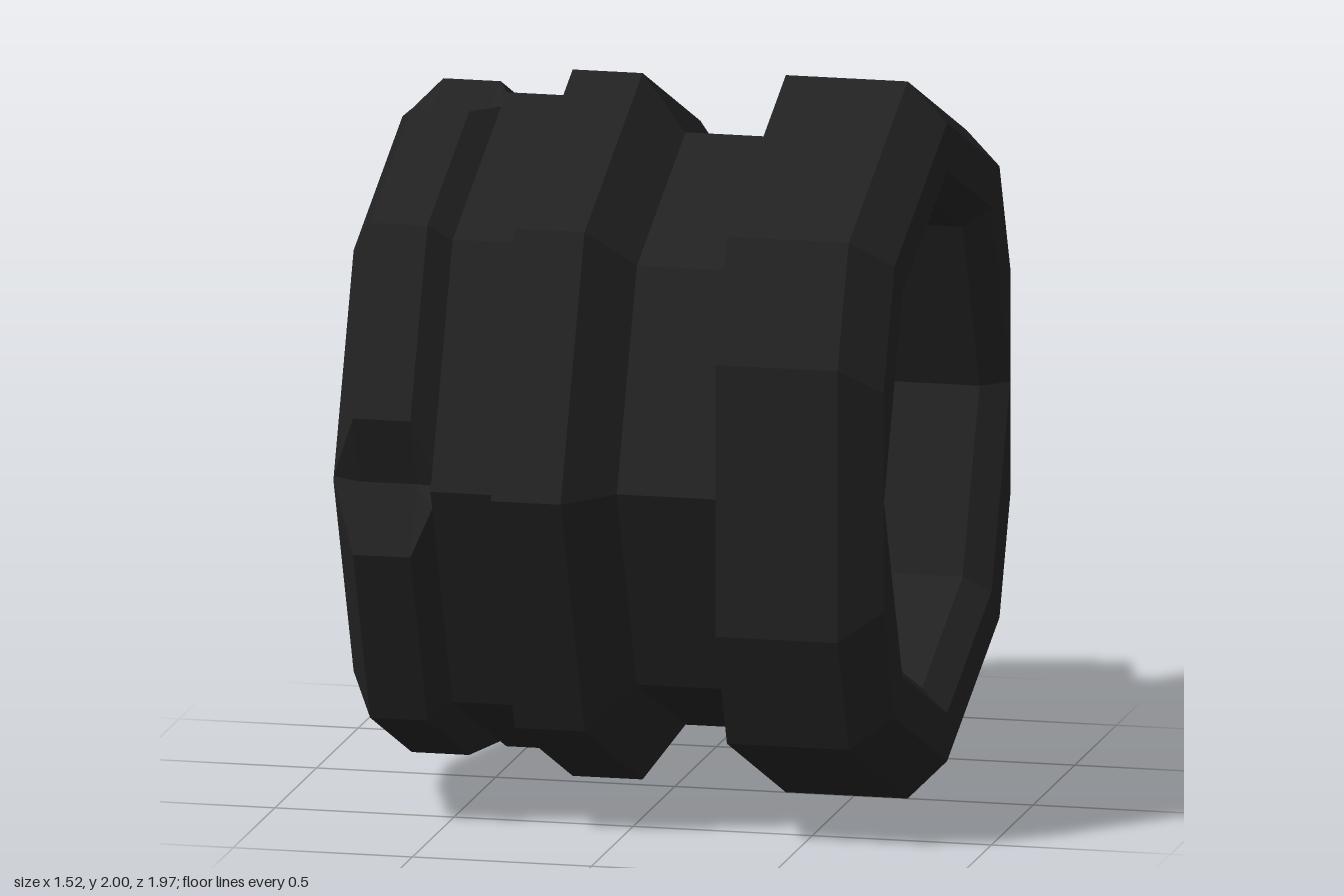
import * as THREE from 'three';

const SLOPE = Math.SQRT2 - 1; // fall of an octagon side away from its corner

// Octagonal cross-section across x. Each of the four axis corners is made of three points,
// so that it can be plain, cut by a V notch, or shaved flat.
function section(x, r, { notch, flat } = {}) {
  const pts = [];
  for (let q = 0; q < 4; q++) {
    let w = 0.1, floor = r;
    if (notch) [w, floor] = notch;
    let h = r - SLOPE * w;
    if (flat && q % 2 === 1) {
      w = (r - flat) / SLOPE;
      h = floor = flat;
    }
    const c = Math.cos(q * Math.PI / 2), s = Math.sin(q * Math.PI / 2);
    const d = r * Math.SQRT1_2;
    for (const [u, v] of [[-w, h], [0, floor], [w, h], [d, d]]) {
      pts.push(new THREE.Vector3(x, 1 + v * c - u * s, v * s + u * c));
    }
  }
  return pts;
}

// Joins successive sections with faceted sides
function loft(sections) {
  const pos = [];
  for (let k = 0; k + 1 < sections.length; k++) {
    const A = sections[k], B = sections[k + 1], n = A.length;
    for (let i = 0; i < n; i++) {
      const j = (i + 1) % n;
      for (const p of [A[i], A[j], B[j], A[i], B[j], B[i]]) pos.push(p.x, p.y, p.z);
    }
  }
  const g = new THREE.BufferGeometry();
  g.setAttribute('position', new THREE.Float32BufferAttribute(pos, 3));
  g.computeVertexNormals();
  return g;
}

export function createModel() {
  const group = new THREE.Group();
  const black = new THREE.MeshStandardMaterial({ color: 0x222222 });
  black.name = 'black';
  const add = (name, ...sections) => {
    const mesh = new THREE.Mesh(loft(sections), black);
    mesh.name = name;
    group.add(mesh);
  };

  // Chamfered end ring with four V notches
  add('notchedRing',
    section(-0.76, 0.69),
    section(-0.76, 0.83, { notch: [0.01, 0.83] }),
    section(-0.69, 0.976, { notch: [0.19, 0.83] }),
    section(-0.53, 0.976, { notch: [0.19, 0.83] }),
    section(-0.47, 0.905, { notch: [0.05, 0.835] }),
    section(-0.47, 0.912));

  // Plain band beside the notched ring
  add('band', section(-0.47, 0.912), section(-0.285, 0.912));

  // Raised collar tapering down to the neck
  add('collar',
    section(-0.285, 0.912),
    section(-0.285, 0.985),
    section(-0.09, 0.985),
    section(0.03, 0.826));

  add('neck', section(0.03, 0.826), section(0.31, 0.826));

  // Wide flange, shaved flat at front and back
  add('flange',
    section(0.31, 0.826),
    section(0.31, 1, { flat: 0.843 }),
    section(0.65, 1, { flat: 0.843 }),
    section(0.76, 0.89, { flat: 0.763 }),
    section(0.76, 0.757));

  // Inner chamfer and through bore
  add('bore',
    section(0.76, 0.757),
    section(0.69, 0.69),
    section(-0.76, 0.69));

  return group;
}
